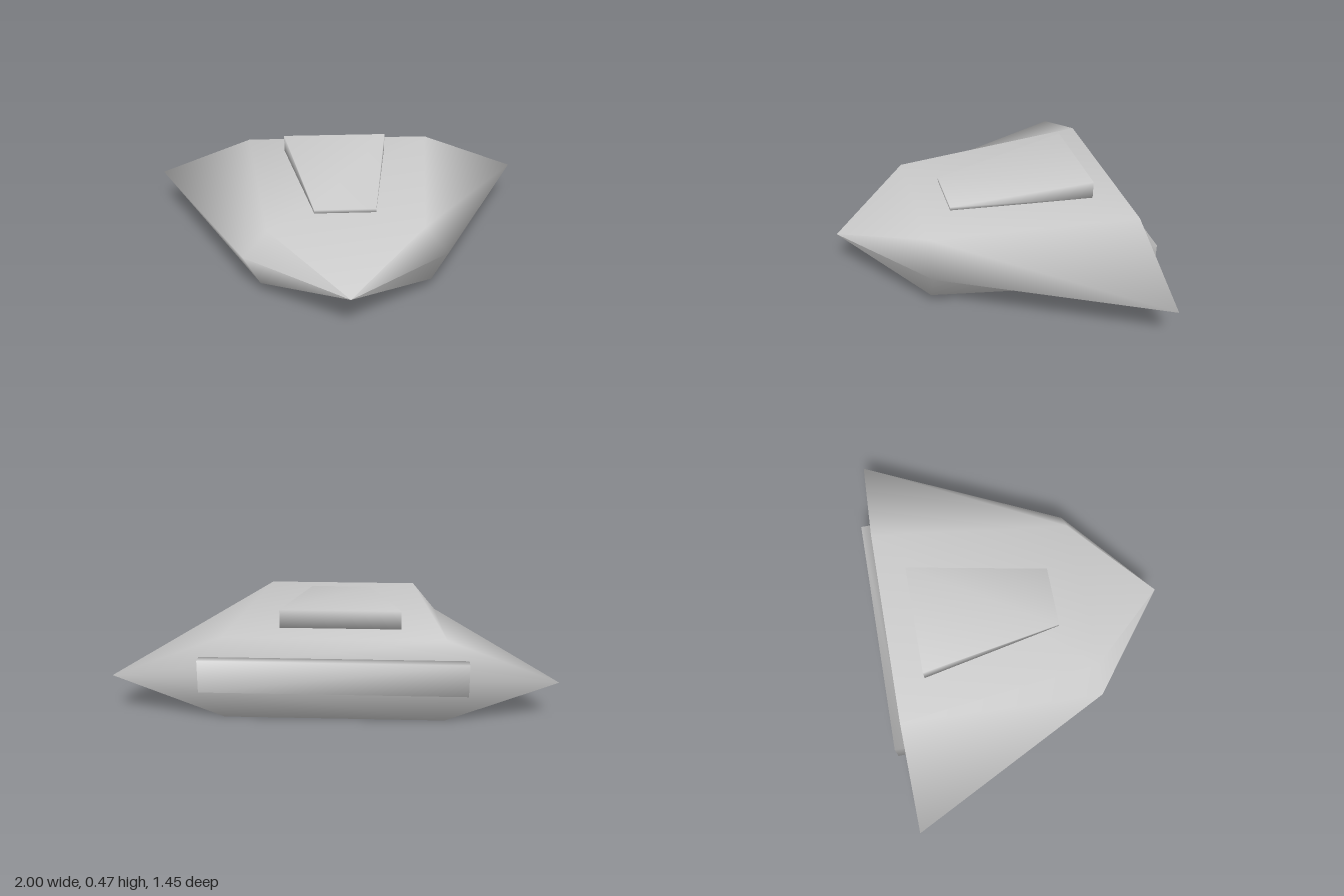
import * as THREE from 'three';

const material = new THREE.MeshStandardMaterial({ color: 0xcccccc });

// Closed solid through cross-sections ordered front (+z) to back,
// each one counter-clockwise as seen from the front, with shared smooth vertices.
function loft(name, sections) {
  const n = sections[0].length;
  const index = [];
  for (let s = 0; s < sections.length - 1; s++) {
    for (let i = 0; i < n; i++) {
      const j = (i + 1) % n;
      const a = s * n, b = a + n;
      index.push(a + i, b + i, a + j, a + j, b + i, b + j);
    }
  }
  const last = (sections.length - 1) * n;
  for (let i = 1; i < n - 1; i++) {
    index.push(0, i, i + 1, last, last + i + 1, last + i);
  }
  const geometry = new THREE.BufferGeometry();
  geometry.setAttribute('position', new THREE.Float32BufferAttribute(sections.flat(2), 3));
  geometry.setIndex(index);
  geometry.computeVertexNormals();
  const mesh = new THREE.Mesh(geometry, material);
  mesh.name = name;
  return mesh;
}

// Seven-sided hull section: side corners, flat top, shallow keel
const hullSection = (z, side, top, topY, chine, chineY) => [
  [side, 0.195, z], [top, topY, z], [-top, topY, z], [-side, 0.195, z],
  [-chine, chineY, z], [0, 0, z], [chine, chineY, z],
];

// Four-sided section
const boxSection = (z, x0, x1, y0, y1) => [[x1, y0, z], [x1, y1, z], [x0, y1, z], [x0, y0, z]];

export function createModel() {
  const model = new THREE.Group();
  model.name = 'spacecraft';

  // Wedge hull: pointed nose, shoulder, wide stern
  const nose = Array.from({ length: 7 }, () => [0, 0.195, 0.725]);
  model.add(loft('hull', [
    nose,
    hullSection(0.33, 0.5, 0.38, 0.34, 0.42, 0.05),
    hullSection(-0.675, 1, 0.5, 0.385, 0.5, 0),
  ]));

  // Raised cockpit, widening and rising to the back
  model.add(loft('cockpit', [
    boxSection(0.175, -0.15, 0.155, 0.345, 0.365),
    boxSection(-0.525, -0.3, 0.255, 0.38, 0.467),
  ]));

  // Engine bar across the stern
  model.add(loft('engineBar', [
    boxSection(-0.67, -0.6, 0.605, 0.14, 0.29),
    boxSection(-0.727, -0.6, 0.605, 0.14, 0.29),
  ]));

  return model;
}
